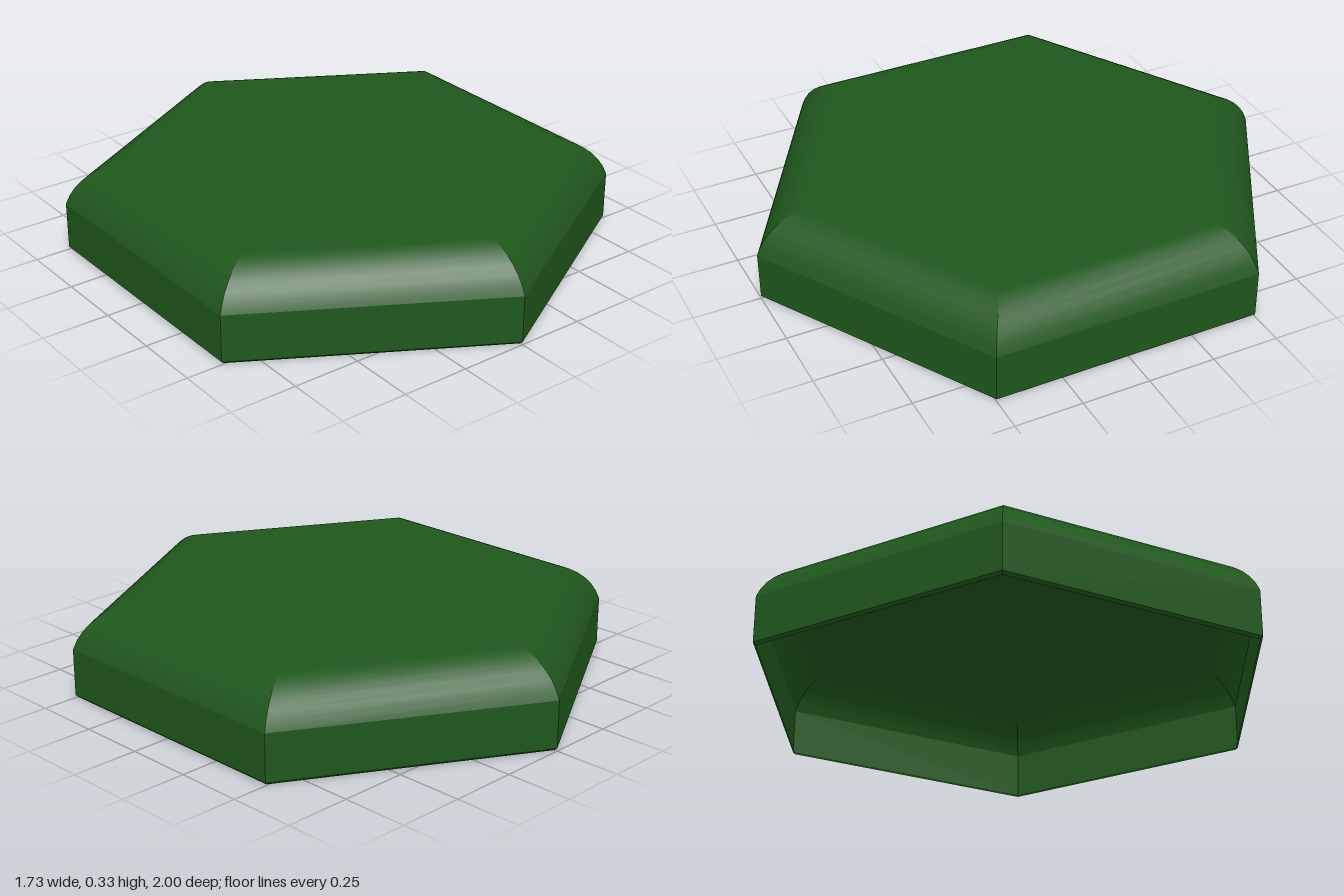
import * as THREE from 'three';

const SIDES = 6;
const APOTHEM = Math.sqrt(3) / 2;

// One sixth of a hexagonal shell: sweeps [apothem, y] points across a side
function sectorGeometry(profile) {
  const positions = [];
  const index = [];
  profile.forEach(([a, y], i) => {
    const half = a * Math.tan(Math.PI / SIDES);
    positions.push(a, y, half, a, y, -half);
    if (i === 0) return;
    const p = 2 * (i - 1);
    index.push(p, p + 1, p + 3);
    if (a > 0) index.push(p, p + 3, p + 2);
  });
  const geometry = new THREE.BufferGeometry();
  geometry.setAttribute('position', new THREE.Float32BufferAttribute(positions, 3));
  geometry.setIndex(index);
  geometry.computeVertexNormals();
  return geometry;
}

export function createModel() {
  const model = new THREE.Group();
  model.name = 'hexagonalTile';
  const material = new THREE.MeshStandardMaterial({ color: 0x1f571c, side: THREE.DoubleSide });

  // Rounded shoulder, ending in the flat top
  const wallTop = 0.185, top = 0.33, steps = 6;
  const start = THREE.MathUtils.degToRad(17), end = Math.PI / 2 - start;
  const radius = (top - wallTop) / (Math.sin(end) - Math.sin(start));
  const shoulder = [];
  for (let i = 0; i <= steps; i++) {
    const t = start + ((end - start) * i) / steps;
    shoulder.push([
      APOTHEM + radius * (Math.cos(t) - Math.cos(start)),
      wallTop + radius * (Math.sin(t) - Math.sin(start)),
    ]);
  }
  shoulder.push([0, top]);

  // Upright wall with a tiny softened lower edge; the underside is open
  const parts = {
    lowerEdge: sectorGeometry([[APOTHEM - 0.01, 0], [APOTHEM, 0.01]]),
    wall: sectorGeometry([[APOTHEM, 0.01], [APOTHEM, wallTop]]),
    shoulderAndTop: sectorGeometry(shoulder),
  };

  // Repeat the sector around the hexagon
  for (let i = 0; i < SIDES; i++) {
    const sector = new THREE.Group();
    sector.name = `sector${i + 1}`;
    sector.rotation.y = (i * 2 * Math.PI) / SIDES;
    for (const [name, geometry] of Object.entries(parts)) {
      const mesh = new THREE.Mesh(geometry, material);
      mesh.name = name;
      sector.add(mesh);
    }
    model.add(sector);
  }
  return model;
}
